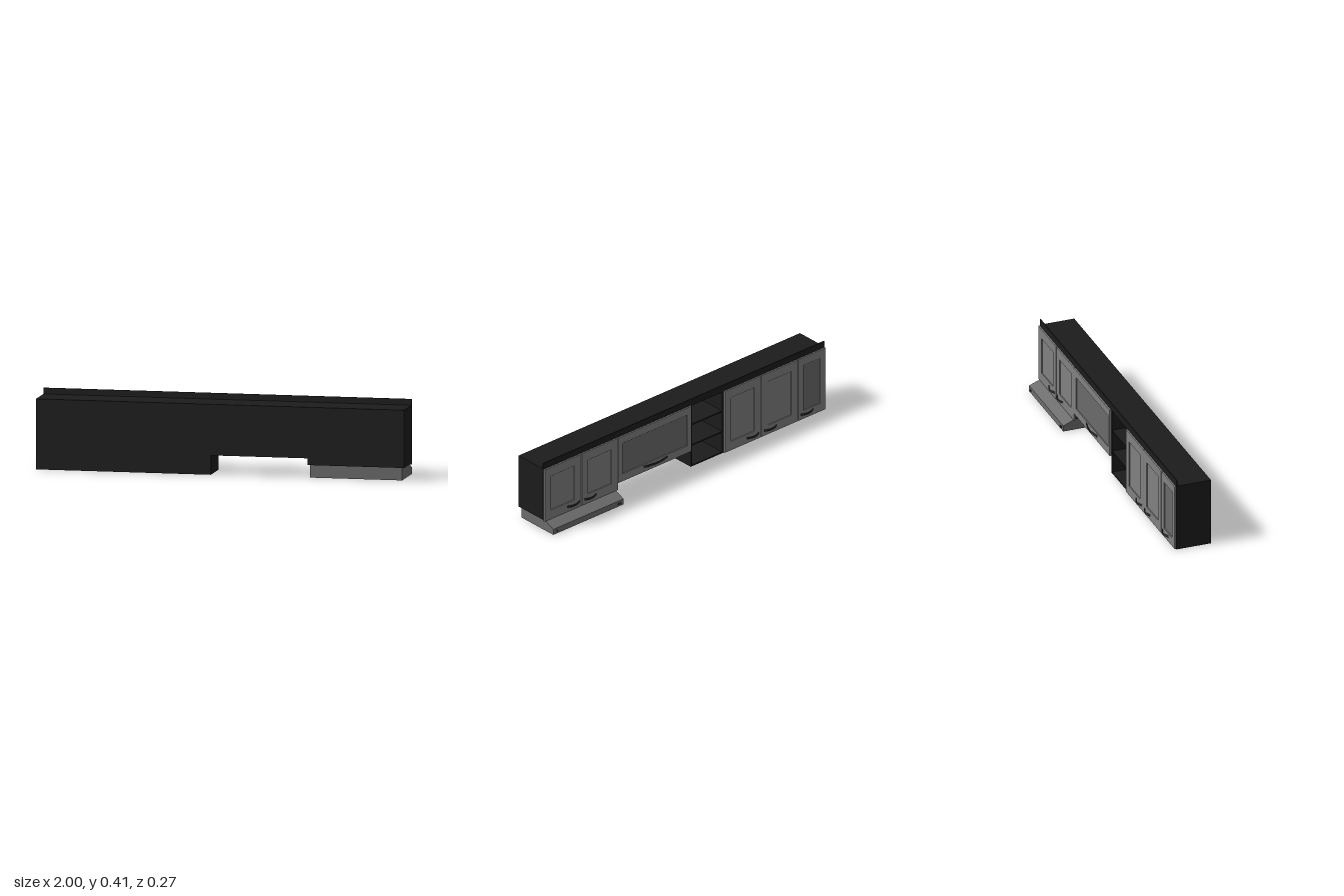
import * as THREE from 'three';

const mat = (color) => new THREE.MeshStandardMaterial({ color });

export function createModel() {
  const group = new THREE.Group();
  group.name = 'wallCabinets';
  const black = mat(0x1c1c1c), grey = mat(0x808080), pane = mat(0x6a6a6a);
  const steel = mat(0x6c6c6c), dark = mat(0x2a2a2a);
  const BACK = 0.134, FACE = -0.062, TOP = 0.378, T = 0.008;

  const add = (name, geometry, material, parent = group) => {
    const mesh = new THREE.Mesh(geometry, material);
    mesh.name = name;
    parent.add(mesh);
    return mesh;
  };
  // Box given by its two extreme corners
  const box = (name, x0, x1, y0, y1, z0, z1, material, parent) =>
    add(name, new THREE.BoxGeometry(x1 - x0, y1 - y0, z1 - z0)
      .translate((x0 + x1) / 2, (y0 + y1) / 2, (z0 + z1) / 2), material, parent);

  // Closed cabinets
  box('tallCabinet', -1, -0.28, 0, TOP, FACE, BACK, black);
  box('flapCabinet', -0.05, 0.475, 0.104, TOP, FACE, BACK, black);
  box('hoodCabinet', 0.475, 1, 0.068, TOP, FACE, BACK, black);

  // Open shelf unit
  const shelves = new THREE.Group();
  shelves.name = 'openShelves';
  group.add(shelves);
  for (const x of [-0.28, -0.05 - T]) box('shelfSide', x, x + T, 0, TOP, FACE, BACK, black, shelves);
  box('shelfBack', -0.28, -0.05, 0, TOP, BACK - 0.005, BACK, black, shelves);
  for (const y of [0, 0.125, 0.25, TOP - T])
    box('shelf', -0.28 + T, -0.05 - T, y, y + T, FACE + 0.001, BACK - 0.005, black, shelves);

  // Cornice strip along the top front edge
  box('cornice', -1, 1, TOP - 0.003, 0.411, FACE, -0.056, black);

  const rect = (C, x0, x1, y0, y1) => new C([
    new THREE.Vector2(x0, y0), new THREE.Vector2(x1, y0),
    new THREE.Vector2(x1, y1), new THREE.Vector2(x0, y1)]);

  // Framed door with a sunken panel and a bowed handle
  function door(x0, x1, y0, mx, my, panelMat, h0, h1) {
    const d = new THREE.Group();
    d.name = 'door';
    group.add(d);
    const y1 = 0.375, g = 0.002;
    const shape = rect(THREE.Shape, x0 + g, x1 - g, y0, y1);
    shape.holes.push(rect(THREE.Path, x0 + mx, x1 - mx, y0 + my, y1 - my));
    const frame = new THREE.ExtrudeGeometry(shape, {
      depth: 0.006, bevelThickness: 0.002, bevelSize: 0.002, bevelOffset: -0.002, bevelSegments: 2 });
    add('doorFrame', frame.translate(0, 0, -0.07), grey, d);
    box('doorPanel', x0 + mx - 0.004, x1 - mx + 0.004, y0 + my - 0.004, y1 - my + 0.004,
      -0.0665, FACE, panelMat, d);

    const pts = [];
    for (let i = 0; i <= 4; i++) {
      const t = i / 4;
      pts.push(new THREE.Vector3(h0 + (h1 - h0) * t, 0, -0.071 - 0.014 * Math.sin(Math.PI * t)));
    }
    const handle = add('handle',
      new THREE.TubeGeometry(new THREE.CatmullRomCurve3(pts), 20, 0.003, 8), dark, d);
    handle.scale.y = 2.2;
    handle.position.y = y0 + 0.031;
  }
  door(-1, -0.803, 0.002, 0.04, 0.05, pane, -0.91, -0.82);
  door(-0.803, -0.541, 0.002, 0.048, 0.055, grey, -0.65, -0.56);
  door(-0.541, -0.28, 0.002, 0.048, 0.055, grey, -0.525, -0.435);
  door(-0.05, 0.475, 0.1, 0.032, 0.045, pane, 0.125, 0.295);
  door(0.475, 0.737, 0.06, 0.048, 0.055, grey, 0.63, 0.72);
  door(0.737, 1, 0.06, 0.048, 0.055, grey, 0.75, 0.84);

  // Cooker hood with a sloping front, extruded along x
  const hood = new THREE.Group();
  hood.name = 'cookerHood';
  group.add(hood);
  const X0 = 0.487, X1 = 0.987;
  const profile = new THREE.Shape([[-0.125, 0.003], [0.128, 0.003], [0.128, 0.033], [0.045, 0.068], [-0.125, 0.068]]
    .map(([a, b]) => new THREE.Vector2(a, b)));
  add('hoodBody', new THREE.ExtrudeGeometry(profile, { depth: X1 - X0, bevelEnabled: false })
    .rotateY(Math.PI / 2).translate(X0, 0, 0), steel, hood);

  // Underside rim, filter and its slats
  for (const x of [X0, X1 - 0.01]) box('hoodRim', x, x + 0.01, 0, 0.003, -0.128, 0.125, steel, hood);
  for (const z of [-0.128, 0.115]) box('hoodRim', X0 + 0.01, X1 - 0.01, 0, 0.003, z, z + 0.01, steel, hood);
  box('filter', X0 + 0.01, X1 - 0.01, 0.002, 0.004, -0.118, 0.115, black, hood);
  for (let r = 0; r < 8; r++) {
    const z = -0.115 + r * 0.0288;
    for (let c = 0; c < 8; c++) {
      const x = X0 + 0.012 + c * 0.0595 + (r % 2) * 0.005;
      box('filterTile', x, x + 0.0545, 0.0005, 0.002, z, z + 0.025, dark, hood);
    }
  }

  // Control buttons on the hood front
  for (const x of [0.51, 0.525, 0.96])
    add('hoodButton', new THREE.CylinderGeometry(0.005, 0.005, 0.006, 16)
      .rotateX(Math.PI / 2).translate(x, 0.016, -0.13), dark, hood);

  return group;
}
